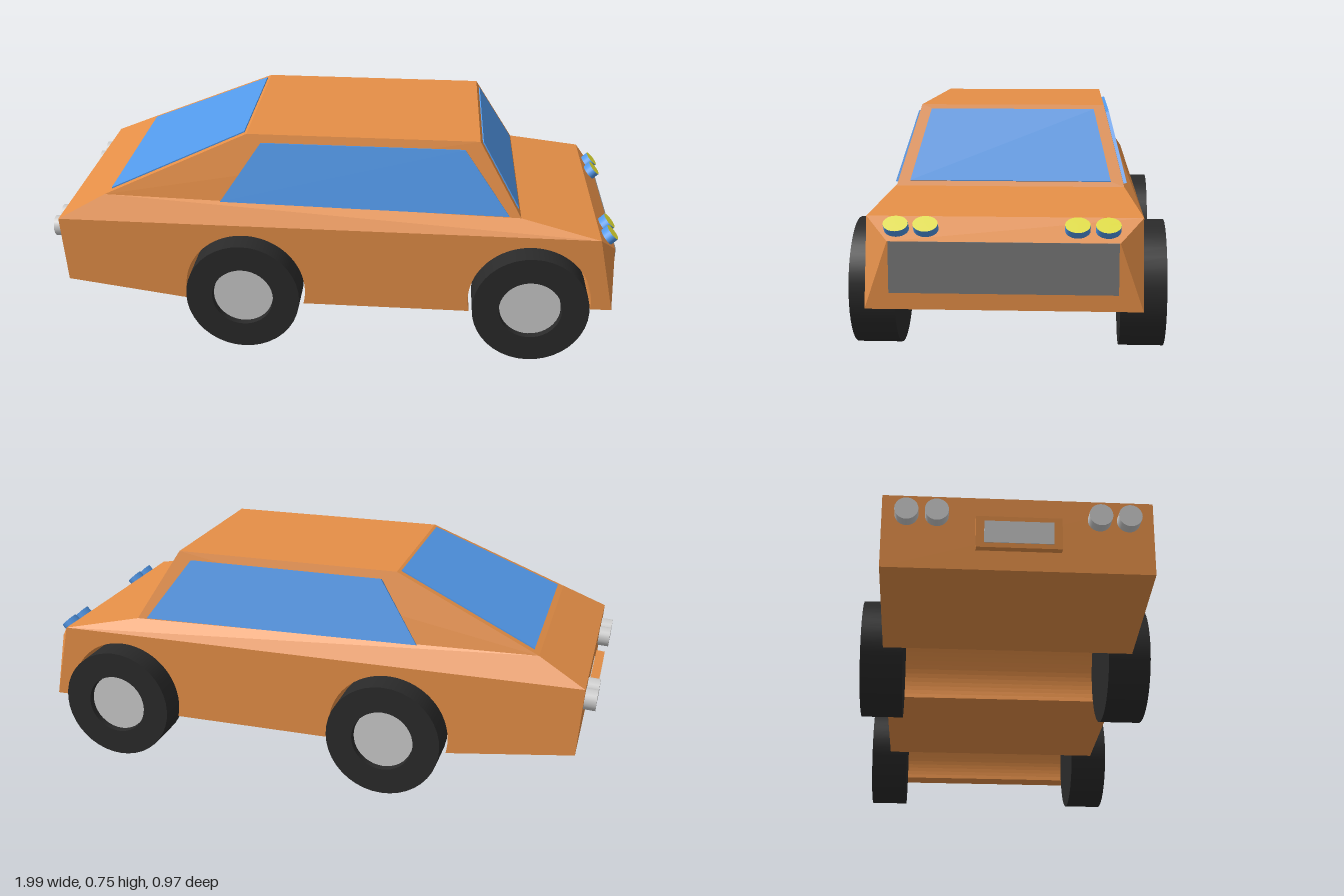
import * as THREE from 'three';
import { ConvexGeometry } from 'three/addons/geometries/ConvexGeometry.js';

const paint = (color, extra = {}) => new THREE.MeshStandardMaterial({ color, ...extra });
const V = (x, y, z) => new THREE.Vector3(x, y, z);

export function createModel() {
  const car = new THREE.Group();
  const orange = paint(0xe58f47), glass = paint(0x5299ea), yellow = paint(0xe4e034);
  const grey = paint(0x787878), rubber = paint(0x2a2a2a), metal = paint(0xcccccc);

  const body = new THREE.Group();
  body.name = 'body';
  body.position.z = 0.005;
  car.add(body);

  const add = (parent, name, geometry, material) => {
    const mesh = new THREE.Mesh(geometry, material);
    mesh.name = name;
    parent.add(mesh);
    return mesh;
  };
  // Convex solid from [x, y, halfWidth] stations mirrored across z
  const hull = (name, stations) => add(body, name,
    new ConvexGeometry(stations.flatMap(([x, y, w]) => [V(x, y, w), V(x, y, -w)])), orange);
  // Thin slab around a four-cornered outline
  const slab = (name, corners, t, material) => {
    const p = corners.map(c => V(...c));
    const n = p[1].clone().sub(p[0]).cross(p[3].clone().sub(p[0])).normalize();
    const pts = p.flatMap(q => [q.clone().addScaledVector(n, t), q.clone().addScaledVector(n, -t)]);
    return add(body, name, new ConvexGeometry(pts), material);
  };

  // Lower body: side profile with wheel arches cut right across
  const halfWidth = 0.413, axles = [-0.305, 0.695], arch = 0.213;
  const side = new THREE.Shape();
  const cutArch = (x, y0, y1) => side.absarc(x, 0.2, arch,
    Math.PI - Math.asin((y0 - 0.2) / arch), Math.asin((y1 - 0.2) / arch), true);
  side.moveTo(-0.96, 0.45);
  side.lineTo(-0.945, 0.21);
  cutArch(axles[0], 0.152, 0.15);
  cutArch(axles[1], 0.15, 0.18);
  side.lineTo(0.98, 0.18);
  side.lineTo(0.92, 0.45);
  const lower = new THREE.ExtrudeGeometry(side, { depth: 2 * halfWidth, bevelEnabled: false, curveSegments: 24 });
  lower.translate(0, 0, -halfWidth);
  add(body, 'lowerBody', lower, orange);

  // Nose, shoulders and cabin
  hull('nose', [[0.92, 0.45, halfWidth], [0.98, 0.385, 0.343], [0.98, 0.18, halfWidth], [0.935, 0.2, 0.4]]);
  hull('shoulders', [[-0.96, 0.45, halfWidth], [0.92, 0.45, halfWidth], [-0.8, 0.53, 0.365], [0.65, 0.5, 0.365]]);
  hull('cabin', [[-0.8, 0.53, 0.365], [0.65, 0.5, 0.365], [0.5, 0.75, 0.3], [-0.3, 0.75, 0.3]]);

  // Windows
  slab('windshield', [[0.641, 0.515, 0.322], [0.641, 0.515, -0.322], [0.509, 0.735, -0.267], [0.509, 0.735, 0.267]], 0.004, glass);
  slab('rearWindow', [[-0.78, 0.539, 0.335], [-0.78, 0.539, -0.335], [-0.31, 0.7456, -0.275], [-0.31, 0.7456, 0.275]], 0.004, glass);
  for (const s of [1, -1]) {
    slab('sideWindow', [[-0.39, 0.518, s * 0.361], [0.61, 0.505, s * 0.364],
      [0.45, 0.722, s * 0.308], [-0.25, 0.722, s * 0.308]], 0.011, glass);
  }

  // Grille
  slab('grille', [[0.98, 0.23, 0.34], [0.98, 0.23, -0.34], [0.98, 0.385, -0.34], [0.98, 0.385, 0.34]], 0.003, grey);

  // Paired headlights with yellow lenses, and paired round tail lights
  for (const z of [0.318, 0.23, -0.218, -0.308]) {
    const lamp = add(body, 'headlight', new THREE.CylinderGeometry(0.0375, 0.0375, 0.03, 24), [glass, yellow, glass]);
    lamp.position.set(0.96, 0.426, z);
    lamp.rotation.z = -Math.PI / 4;
    lamp.scale.x = 0.74;
  }
  for (const z of [-0.338, -0.247, 0.247, 0.336]) {
    const lamp = add(body, 'tailLight', new THREE.CylinderGeometry(0.036, 0.036, 0.04, 24), metal);
    lamp.position.set(-0.976, 0.385, z);
    lamp.rotation.z = Math.PI / 2 + 0.06;
  }

  // Rear plate in a painted frame
  const plate = new THREE.Group();
  plate.name = 'rearPlate';
  plate.position.set(-0.967, 0.322, 0);
  plate.rotation.z = 0.12;
  add(plate, 'plateFrame', new THREE.BoxGeometry(0.03, 0.1, 0.26), orange);
  add(plate, 'plateFace', new THREE.BoxGeometry(0.034, 0.07, 0.21), metal);
  body.add(plate);

  // Wheels: solid tyre with a recessed hub on the outer side
  const tyre = new THREE.LatheGeometry([[0, -0.07], [0.2, -0.07], [0.2, -0.07], [0.2, 0.07], [0.2, 0.07],
    [0.108, 0.07], [0.108, 0.07], [0.108, 0.04], [0.108, 0.04], [0, 0.04]].map(p => new THREE.Vector2(...p)), 40);
  const hub = new THREE.CylinderGeometry(0.105, 0.105, 0.02, 40);
  for (const x of axles) for (const s of [1, -1]) {
    const wheel = new THREE.Group();
    wheel.name = (x > 0 ? 'front' : 'rear') + 'Wheel';
    add(wheel, 'tyre', tyre, rubber);
    add(wheel, 'hub', hub, metal).position.y = 0.04;
    wheel.position.set(x, 0.203, s * 0.413);
    wheel.rotation.x = s * Math.PI / 2;
    car.add(wheel);
  }
  return car;
}
